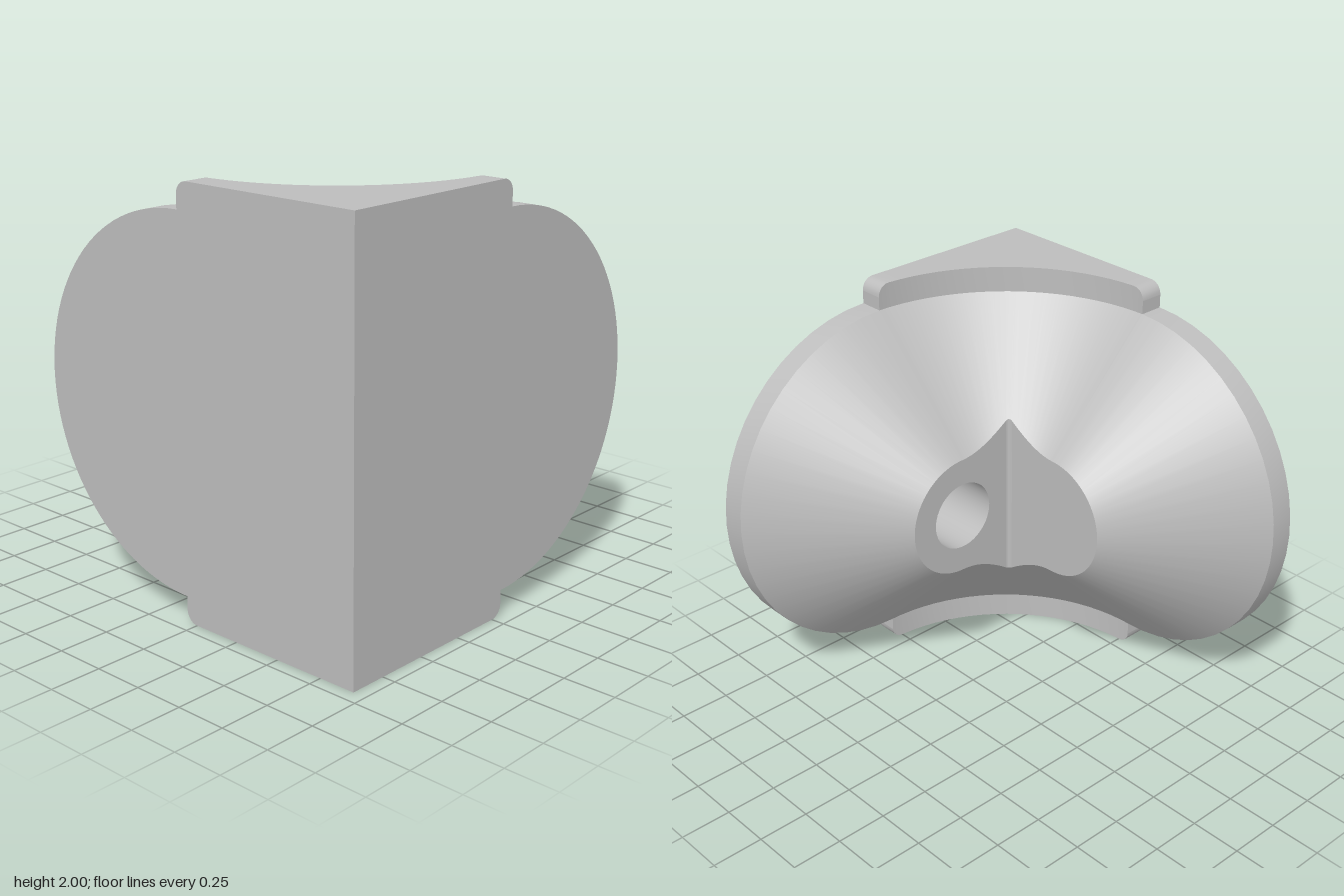
import * as THREE from 'three';
import { toCreasedNormals } from 'three/addons/utils/BufferGeometryUtils.js';

const C = 0.06;       // apex of all cones sits at (C, 0, -C)
const R = 0.875;      // flange radius
const IN = 0.3;       // radius of the small cone end
const OUT = 0.995;    // distance from apex to the outer faces
const F = 0.06;       // rounding of the cap corners
const f = 0.02;       // fillet of the inner edge
const Q = Math.PI / 4;

const grey = new THREE.MeshStandardMaterial({ color: 0xbdbdbd });
grey.name = 'plain grey';

function part(name, geometry, x = 0, y = 0, z = 0) {
  const mesh = new THREE.Mesh(geometry, grey);
  mesh.name = name;
  mesh.position.set(x, y, z);
  return mesh;
}

// Skin over a list of cross-sections
function skin(rows) {
  const pos = [];
  const tri = (a, b, c) => {
    const n = b.clone().sub(a).cross(c.clone().sub(a));
    if (n.length() > 1e-10) for (const p of [a, b, c]) pos.push(p.x, p.y, p.z);
  };
  for (let i = 0; i + 1 < rows.length; i++) {
    for (let j = 0; j + 1 < rows[i].length; j++) {
      const a = rows[i][j], b = rows[i][j + 1], c = rows[i + 1][j], d = rows[i + 1][j + 1];
      tri(a, c, b);
      tri(b, c, d);
    }
  }
  const g = new THREE.BufferGeometry();
  g.setAttribute('position', new THREE.Float32BufferAttribute(pos, 3));
  return toCreasedNormals(g, 0.5);
}

// Turn around the z axis
function turned(points, segments, angle) {
  const g = new THREE.LatheGeometry(points.map(p => new THREE.Vector2(...p)), segments, 0, angle);
  return toCreasedNormals(g.rotateX(Math.PI / 2), 0.5);
}

// Inner end of the saddle along a direction, with the filleted corner
const filletAngle = Q - Math.atan2(IN - f, IN);
function innerRadius(t) {
  const d = t - Q, k = (IN - f) * Math.SQRT2;
  if (Math.abs(d) < filletAngle) return k * Math.cos(d) + Math.sqrt(f * f - (k * Math.sin(d)) ** 2);
  return IN / Math.max(Math.cos(t), Math.sin(t));
}

const at = (u, y, w) => new THREE.Vector3(C - u, y, w - C);

// Saddle between the two cones, curved wall and cap
function cornerGeometry() {
  const angles = [];
  for (let i = 0; i <= 6; i++) angles.push(Math.asin(F * (1 - Math.cos(i * Math.PI / 12)) / R));
  for (let i = 1; i <= 9; i++) angles.push(angles[6] + (Q - filletAngle - angles[6]) * i / 9);
  for (let i = 1; i <= 3; i++) angles.push(Q - filletAngle * (1 - i / 3));

  const half = angles.map(t => ({ t, u: R * Math.sin(t), w: R * Math.cos(t), ou: R * Math.sin(t), ow: OUT }));
  const swapped = half.map(s => ({ t: 2 * Q - s.t, u: s.w, w: s.u, ou: s.ow, ow: s.ou })).reverse();
  const mid = { ...half[half.length - 1], ou: OUT, ow: OUT };

  const rows = [...half, mid, ...swapped].map(s => {
    const r = innerRadius(s.t);
    const e = Math.max(0, F - Math.min(s.u, s.w));
    const top = 1 - F + Math.sqrt(Math.max(0, F * F - e * e));
    return [
      at(r * Math.sin(s.t), r, r * Math.cos(s.t)),
      at(s.u, R, s.w), at(s.u, top, s.w), at(s.ou, top, s.ow),
    ];
  });
  return skin(rows);
}

// Small fillet joining the two end faces
function filletGeometry() {
  const rows = [];
  for (let i = -3; i <= 3; i++) {
    const t = Q + filletAngle * i / 3 * 0.9999, r = innerRadius(t);
    rows.push([-r, r].map(y => at(r * Math.sin(t), y, r * Math.cos(t))));
  }
  return skin(rows);
}

// Flat outer face: rectangle with rounded corners and half a disc
function outerFaceShape() {
  const s = new THREE.Shape();
  s.moveTo(-OUT + C, -1);
  s.lineTo(0, -1);
  s.absarc(0, -1 + F, F, -Math.PI / 2, 0, false);
  s.lineTo(C, -R);
  s.absarc(C, 0, R, -Math.PI / 2, Math.PI / 2, false);
  s.lineTo(C, 1 - F);
  s.absarc(0, 1 - F, F, 0, Math.PI / 2, false);
  s.lineTo(-OUT + C, 1);
  return s;
}

// Flat end face: half disc running into two flared curves
function endFaceShape(hole) {
  const s = new THREE.Shape();
  const N = 10, flare = i => (IN - f) * i / N;
  s.absarc(0, 0, IN, Math.PI / 2, Math.PI * 1.5, false);
  for (let i = 1; i <= N; i++) s.lineTo(flare(i), -Math.hypot(flare(i), IN));
  for (let i = N; i >= 1; i--) s.lineTo(flare(i), Math.hypot(flare(i), IN));
  if (hole) s.holes.push(new THREE.Path().absarc(0, 0, 0.17, 0, Math.PI * 2, true));
  return s;
}

// One arm with its half of the corner
function arm(name, hole) {
  const g = new THREE.Group();
  g.name = name;
  g.add(part('coneAndFlange', turned([[IN, IN], [R, R], [R, OUT]], 26, Math.PI), C, 0, -C));
  g.add(part('cornerSaddle', cornerGeometry()));
  g.add(part('outerFace', new THREE.ShapeGeometry(outerFaceShape(), 26), 0, 0, OUT - C));
  g.add(part('endFace', new THREE.ShapeGeometry(endFaceShape(hole), 24).rotateY(Math.PI), C, 0, IN - C));
  for (const s of [-1, 1]) {
    const h = 1 - F - R;
    g.add(part('capEnd', new THREE.PlaneGeometry(OUT - R, h).rotateY(Math.PI / 2), C, s * (R + h / 2), (OUT + R) / 2 - C));
  }
  if (hole) g.add(part('boltHole', turned([[0, 0.8], [0.17, 0.8], [0.17, IN]], 48, Math.PI * 2), C, 0, -C));
  return g;
}

export function createModel() {
  const model = new THREE.Group();
  model.name = 'cornerBracket';
  const body = new THREE.Group();
  body.name = 'bracketBody';
  body.position.y = 1;
  const front = arm('frontArm', true);
  // Half a turn about the diagonal gives the side arm and the lower corner
  const side = arm('sideArm', false);
  side.setRotationFromAxisAngle(new THREE.Vector3(1, 0, -1).normalize(), Math.PI);
  body.add(front, side, part('innerFillet', filletGeometry()));
  model.add(body);
  return model;
}
